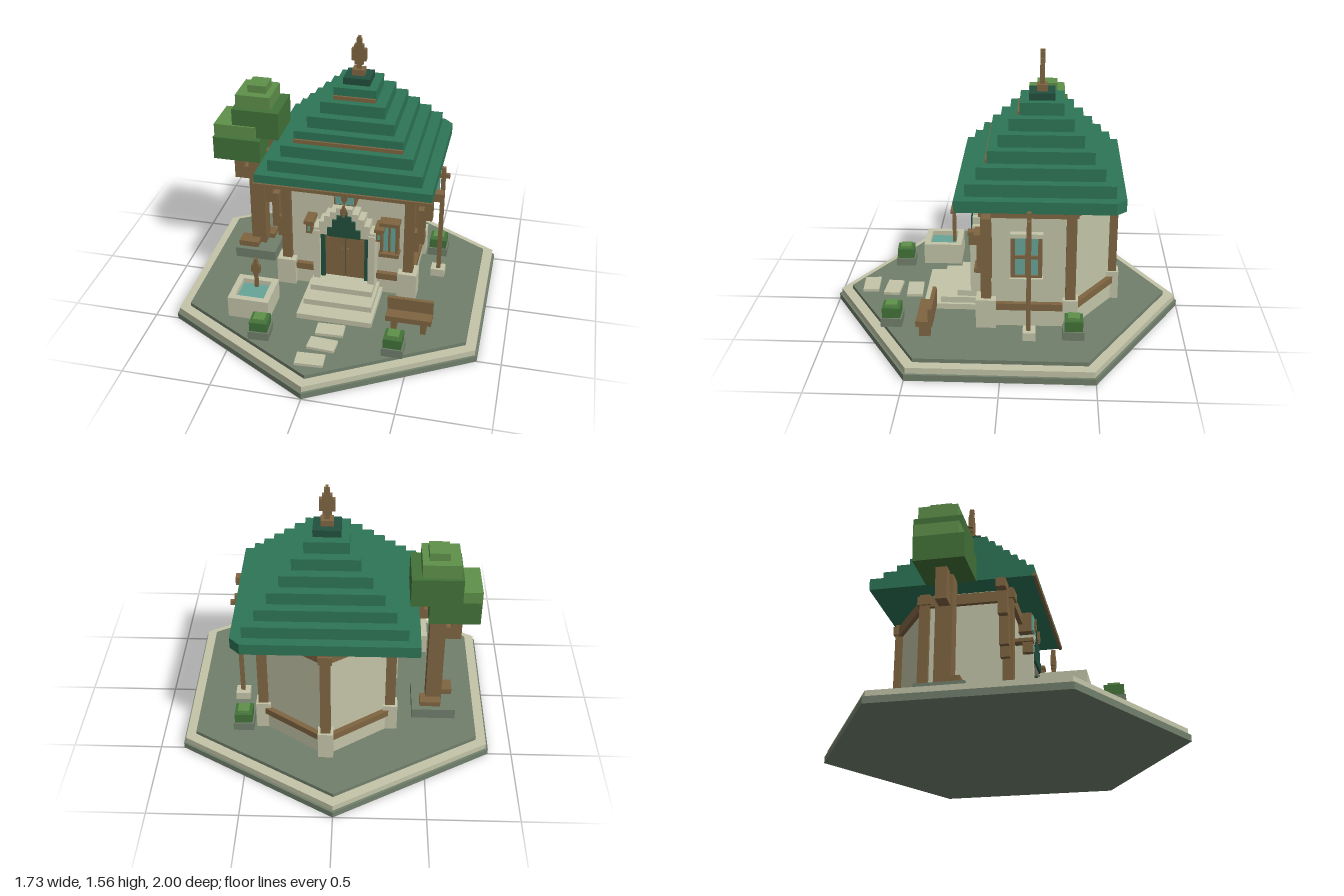
import * as THREE from 'three';

const mat = (name, color) => {
  const m = new THREE.MeshStandardMaterial({ color });
  m.name = name;
  return m;
};

export function createModel() {
  const stone = mat('grey stone', 0x717f6c), cream = mat('pale stone', 0xc3c4a8);
  const wood = mat('wood', 0x7f6541), roofGreen = mat('roof green', 0x2d7556);
  const darkGreen = mat('dark green', 0x22503f), leafDark = mat('dark leaf', 0x437339);
  const leafLight = mat('light leaf', 0x5f904a), teal = mat('teal', 0x66a497);

  const model = new THREE.Group();
  model.name = 'gardenHouse';
  const part = (name, parent = model) => {
    const g = new THREE.Group();
    g.name = name;
    parent.add(g);
    return g;
  };
  const add = (parent, name, geo, m) => {
    const mesh = new THREE.Mesh(geo, m);
    mesh.name = name;
    parent.add(mesh);
    return mesh;
  };
  // box given by its limits on each axis
  const box = (parent, name, m, x0, x1, y0, y1, z0, z1) => {
    const mesh = add(parent, name, new THREE.BoxGeometry(x1 - x0, y1 - y0, z1 - z0), m);
    mesh.position.set((x0 + x1) / 2, (y0 + y1) / 2, (z0 + z1) / 2);
    return mesh;
  };
  // upright prism over a plan of [x, z] points
  const prism = (parent, name, m, plan, y0, y1) => {
    const shape = new THREE.Shape(plan.map(([x, z]) => new THREE.Vector2(x, -z)));
    const geo = new THREE.ExtrudeGeometry(shape, { depth: y1 - y0, bevelEnabled: false });
    geo.rotateX(-Math.PI / 2).translate(0, y0, 0);
    return add(parent, name, geo, m);
  };
  // stepped diamond ornament: [from, to, half width] relative to its height
  const ornament = (parent, name, x, y, z, h, depth) => {
    const g = part(name, parent);
    [[0, .13, .07], [.13, .25, .13], [.25, .62, .22], [.62, .75, .14], [.75, .93, .08], [.93, 1, .04]]
      .forEach(([a, b, w]) => box(g, 'ornamentStep', wood, x - w * h, x + w * h, y + a * h, y + b * h, z - depth / 2, z + depth / 2));
  };

  // six-sided terrace
  const hex = r => [0, 1, 2, 3, 4, 5].map(i => [r * Math.sin(i * Math.PI / 3), r * Math.cos(i * Math.PI / 3)]);
  const terrace = part('terrace');
  prism(terrace, 'lowerSlab', stone, hex(1), 0, .036);
  prism(terrace, 'paleSlab', cream, hex(.985), .036, .07);
  prism(terrace, 'paving', stone, hex(.92), .07, .092);

  // five-sided house with a point at the back
  const G = .09, house = part('house');
  const plan = [[-.305, .095], [.41, .095], [.41, -.365], [.05, -.605], [-.305, -.365]];
  const grow = k => plan.map(([x, z]) => [.05 + (x - .05) * k, -.2 + (z + .2) * k]);
  prism(house, 'walls', cream, plan, G, .82);
  prism(house, 'footing', cream, grow(1.06), G, .19);
  plan.forEach(([x, z], i) => {
    const [u, v] = plan[(i + 1) % 5], len = Math.hypot(u - x, v - z);
    [['sillBeam', .19, .23, .06], ['topBeam', .74, .8, .05]].forEach(([name, a, b, d]) => {
      const beam = add(house, name, new THREE.BoxGeometry(len, b - a, d), wood);
      beam.position.set((x + u) / 2, (a + b) / 2, (z + v) / 2);
      beam.rotation.y = -Math.atan2(v - z, u - x);
    });
    const block = (name, m, s, a, b) => box(house, name, m, x - s, x + s, a, b, z - s, z + s);
    block('postBase', cream, i < 2 ? .055 : .042, G, .26);
    block('post', wood, .028, .26, .82);
    block('postCap', wood, .038, .75, .8);
  });

  // stepped braces outside the front posts
  [[-.305, -1], [.41, 1]].forEach(([x, s]) => {
    const brace = part('eaveBrace', house);
    [[.025, .055, .4, .53], [.045, .085, .46, .68], [.08, .125, .62, .78], [.08, .18, .75, .8]].forEach(([a, b, y0, y1]) =>
      box(brace, 'braceStep', wood, Math.min(x + s * a, x + s * b), Math.max(x + s * a, x + s * b), y0, y1, .06, .11));
  });

  // stepped roof; its lowest tier has one cut corner
  const roof = part('roof'), cx = .05, cz = -.195;
  prism(roof, 'roofTier', roofGreen, [[-.445, .255], [.545, .255], [.545, -.59], [.49, -.645], [-.445, -.645]], .815, .88);
  [.432, .37, .307, .245, .182, .12].forEach((hx, i) => {
    const hz = .395 - i * .055, y = .88 + i * .0692;
    box(roof, 'roofTier', roofGreen, cx - hx, cx + hx, y, y + .0692, cz - hz, cz + hz);
    if (i === 2 || i === 5) box(roof, 'roofTrim', wood, cx - hx, cx + hx, y, y + .022, cz + hz, cz + hz + .012);
  });
  box(roof, 'eaveTrim', wood, -.45, .55, .81, .83, .25, .267);
  box(roof, 'roofCap', darkGreen, cx - .075, cx + .075, 1.295, 1.335, cz - .07, cz + .07);
  box(roof, 'finialBase', wood, cx - .035, cx + .035, 1.335, 1.37, cz - .03, cz + .03);
  ornament(roof, 'roofFinial', cx, 1.37, cz, .19, .026);

  // entrance with stepped arch
  const door = part('entrance');
  [-1, 1].forEach(s => {
    const side = (name, m, a, b, y0, y1, z0, z1) =>
      box(door, name, m, cx + Math.min(s * a, s * b), cx + Math.max(s * a, s * b), y0, y1, z0, z1);
    side('pilaster', cream, .14, .178, G, .52, .09, .195);
    side('jamb', darkGreen, .115, .14, .19, .5, .09, .17);
    side('doorLeaf', wood, .002, .115, .2, .495, .09, .155);
    side('doorPull', wood, .012, .022, .32, .4, .155, .168);
    side('doorStrip', wood, .09, .105, .27, .46, .155, .161);
    // wall lantern
    side('lanternCap', wood, .175, .23, .56, .58, .1, .205);
    side('lanternBody', wood, .185, .218, .5, .56, .145, .2);
    side('lanternGlow', teal, .194, .209, .515, .545, .2, .203);
  });
  box(door, 'doorGap', darkGreen, cx - .003, cx + .003, .2, .495, .09, .15);
  [[.178, .495, .535], [.145, .535, .58], [.115, .58, .62], [.08, .62, .65], [.045, .65, .68]].forEach(([w, a, b]) =>
    box(door, 'archStep', cream, cx - w, cx + w, a, b, .09, .185));
  [[.095, .495, .55], [.066, .55, .605], [.042, .605, .635], [.018, .635, .665]].forEach(([w, a, b]) =>
    box(door, 'pediment', darkGreen, cx - w, cx + w, a, b, .1, .197));
  ornament(door, 'pedimentOrnament', cx, .635, .2, .08, .014);
  box(door, 'transomFrame', wood, cx - .062, cx + .062, .695, .81, .09, .17);
  box(door, 'transomGlass', teal, cx - .052, cx + .052, .705, .8, .17, .178);
  ornament(door, 'transomOrnament', cx, .715, .182, .08, .012);

  // entrance stairs and stepping stones
  const steps = part('steps');
  [[.215, .092, .125, .46], [.197, .125, .16, .365], [.18, .16, .195, .27]].forEach(([w, a, b, z]) =>
    box(steps, 'stair', cream, cx - w, cx + w, a, b, .1, z));
  [[.05, .535, .05], [.035, .665, -.06], [0, .8, .06]].forEach(([x, z, turn]) => {
    box(steps, 'steppingStone', cream, x - .078, x + .078, .092, .108, z - .046, z + .046).rotation.y = turn;
  });

  // front window
  const front = part('frontWindow');
  box(front, 'glass', teal, .26, .345, .39, .59, .12, .128);
  [[.245, .36, .58, .602, .165], [.245, .36, .375, .397, .165], [.25, .266, .38, .6, .15], [.338, .354, .38, .6, .15], [.295, .307, .39, .59, .14]]
    .forEach(([a, b, c, d, z]) => box(front, 'windowFrame', wood, a, b, c, d, .09, z));

  // window in the right wall
  const side = part('sideWindow');
  box(side, 'glass', teal, .41, .42, .4, .63, -.2, -.05);
  [[.39, .63, -.21, -.187], [.39, .63, -.063, -.04], [.39, .63, -.132, -.118], [.5, .518, -.2, -.05], [.385, .4, -.21, -.04]]
    .forEach(([a, b, c, d]) => box(side, 'windowFrame', wood, .4, .432, a, b, c, d));
  box(side, 'lintel', cream, .4, .445, .628, .652, -.215, -.035);
  box(side, 'sill', cream, .4, .45, .363, .388, -.215, -.035);

  // banner pole
  const banner = part('banner');
  box(banner, 'poleFoot', cream, .515, .597, G, .14, -.18, -.11);
  box(banner, 'pole', wood, .546, .57, .14, .83, -.152, -.128);
  box(banner, 'arm', wood, .42, .595, .765, .79, -.15, -.13);
  box(banner, 'cloth', teal, .437, .54, .6, .77, -.144, -.136);
  ornament(banner, 'emblem', .488, .645, -.14, .09, .02);

  // tree
  const tree = part('tree');
  box(tree, 'treeBed', stone, -.685, -.435, G, .155, -.31, -.05);
  box(tree, 'root', wood, -.67, -.55, .155, .19, -.17, -.08);
  box(tree, 'root', wood, -.6, -.48, .155, .185, -.28, -.2);
  box(tree, 'trunk', wood, -.605, -.515, .15, .95, -.23, -.14);
  box(tree, 'branch', wood, -.64, -.6, .6, .68, -.21, -.15);
  box(tree, 'branch', wood, -.695, -.635, .6, .79, -.21, -.15);
  box(tree, 'branch', wood, -.52, -.42, .74, .8, -.21, -.16);
  box(tree, 'branch', wood, -.48, -.425, .8, .93, -.21, -.16);
  box(tree, 'lowerCrown', leafDark, -.78, -.5, .78, .92, -.31, -.04);
  box(tree, 'lowerCrownTop', leafLight, -.78, -.53, .92, .99, -.31, -.07);
  box(tree, 'upperCrown', leafDark, -.672, -.395, .92, 1.09, -.345, -.08);
  box(tree, 'upperCrownTop', leafLight, -.655, -.45, 1.09, 1.17, -.325, -.11);
  box(tree, 'crownTip', leafLight, -.595, -.485, 1.17, 1.215, -.28, -.16);

  // pool with a spout
  const pool = part('pool');
  [[-.545, -.31, .295, .33], [-.545, -.31, .49, .525], [-.545, -.51, .33, .49], [-.345, -.31, .33, .49]].forEach(([a, b, c, d]) =>
    box(pool, 'poolWall', cream, a, b, G, .22, c, d));
  box(pool, 'water', teal, -.51, -.345, G, .19, .33, .49);
  box(pool, 'spoutStem', wood, -.438, -.418, .18, .3, .337, .357);
  ornament(pool, 'spout', -.428, .265, .347, .12, .022);

  // bench
  const bench = part('bench');
  box(bench, 'seat', wood, .345, .6, .165, .198, .375, .465);
  box(bench, 'backrest', wood, .345, .6, .198, .275, .375, .397);
  [.375, .54].forEach(x => box(bench, 'leg', wood, x, x + .03, G, .165, .39, .45));

  // planters
  [[-.323, .637, .05], [.42, .617, 0], [.525, -.385, 0]].forEach(([x, z, turn]) => {
    const planter = part('planter');
    planter.position.set(x, 0, z);
    planter.rotation.y = turn;
    const tier = (name, m, s, a, b) => box(planter, name, m, -s, s, a, b, -s, s);
    tier('pot', stone, .058, G, .142);
    tier('shrub', leafDark, .05, .142, .2);
    tier('shrubTop', leafLight, .032, .2, .216);
  });
  return model;
}
